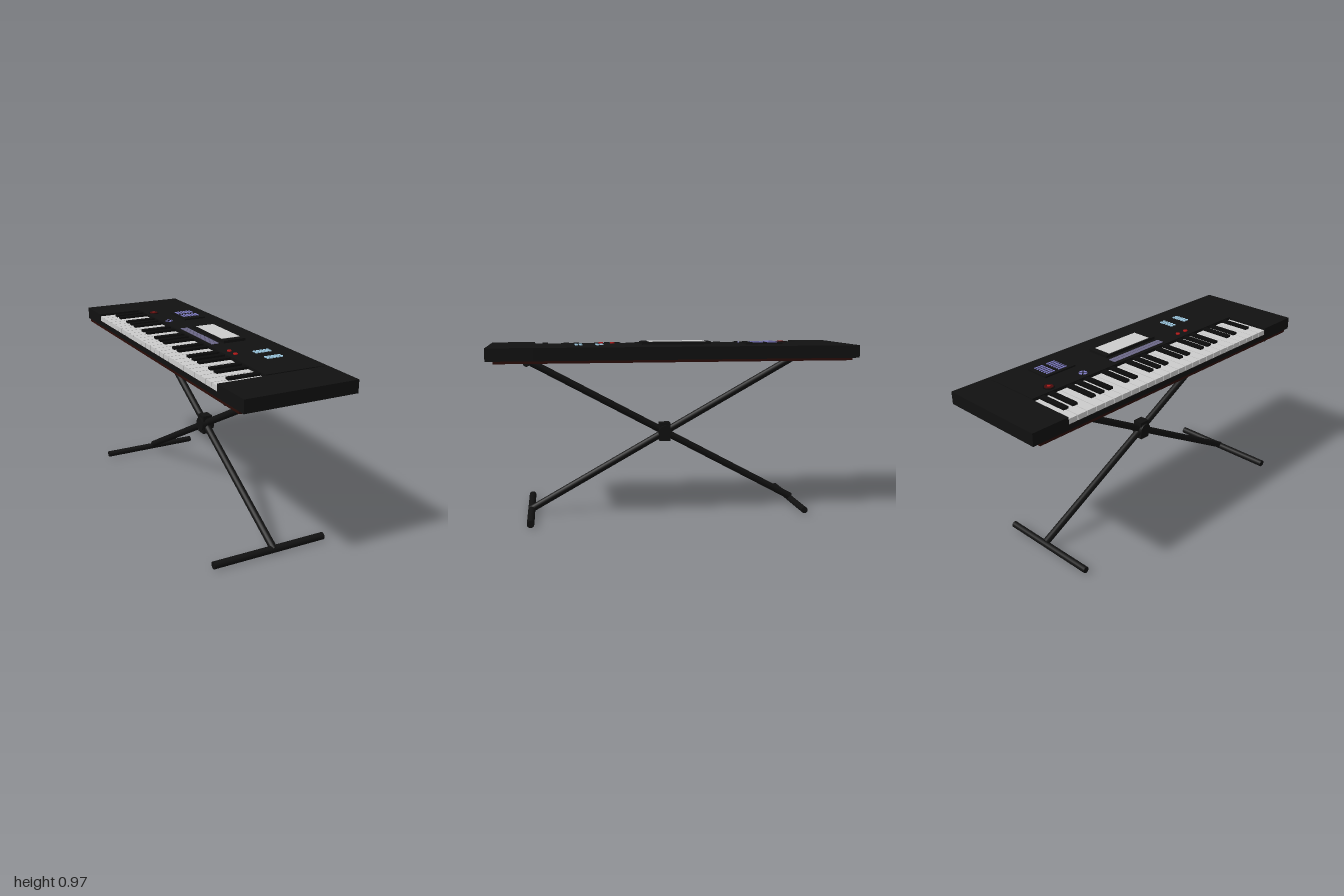
import * as THREE from 'three';

const paint = (color) => new THREE.MeshStandardMaterial({ color });
const black = paint(0x111111), keyBlack = paint(0x0c0c0c), white = paint(0xcccccc), brown = paint(0x2c0d08);
const red = paint(0xb01818), darkRed = paint(0x4a0c0c), purple = paint(0x6c6888), violet = paint(0x7f7cc4), blue = paint(0x9cc8e0);

export function createModel() {
  const model = new THREE.Group();

  const add = (parent, name, geometry, material) => {
    const mesh = new THREE.Mesh(geometry, material);
    mesh.name = name;
    parent.add(mesh);
    return mesh;
  };
  const group = (name) => {
    const g = new THREE.Group();
    g.name = name;
    model.add(g);
    return g;
  };
  // box given by its limits on each axis
  const box = (parent, name, [x0, x1], [y0, y1], [z0, z1], material) => {
    const mesh = add(parent, name, new THREE.BoxGeometry(x1 - x0, y1 - y0, z1 - z0), material);
    mesh.position.set((x0 + x1) / 2, (y0 + y1) / 2, (z0 + z1) / 2);
    return mesh;
  };
  // upright disc standing on the console
  const disc = (parent, name, x, z, radius, y0, y1, material) => {
    const mesh = add(parent, name, new THREE.CylinderGeometry(radius, radius, y1 - y0, 20), material);
    mesh.position.set(x, (y0 + y1) / 2, z);
    return mesh;
  };
  // round bar between two points
  const bar = (parent, name, a, b, radius) => {
    const from = new THREE.Vector3(...a), to = new THREE.Vector3(...b);
    const mesh = add(parent, name, new THREE.CylinderGeometry(radius, radius, from.distanceTo(to), 16), black);
    mesh.position.copy(from).lerp(to, 0.5);
    mesh.quaternion.setFromUnitVectors(new THREE.Vector3(0, 1, 0), to.sub(from).normalize());
    return mesh;
  };

  const left = -0.295, right = 0.323, keyBack = -0.035;
  const keyStart = -0.785, keyEnd = 0.755, deck = 0.953;

  // case: base plate, end blocks, key bed and console
  const body = group('case');
  box(body, 'basePlate', [left, right], [0.867, 0.88], [-0.96, 0.96], brown);
  box(body, 'endBlockBack', [left, right], [0.88, 0.948], [-1, keyStart], black);
  box(body, 'endBlockFront', [left, right], [0.88, 0.948], [keyEnd, 1], black);
  box(body, 'keyBed', [left, keyBack], [0.88, 0.908], [keyStart, keyEnd], black);
  const profile = new THREE.Shape([
    [keyBack, 0.88], [right, 0.88], [right, 0.948], [0.24, deck], [keyBack, deck],
  ].map(([x, y]) => new THREE.Vector2(x, y)));
  const consoleGeometry = new THREE.ExtrudeGeometry(profile, { depth: keyEnd - keyStart, bevelEnabled: false });
  add(body, 'console', consoleGeometry, black).position.z = keyStart;

  // keys: 26 white, black ones in groups of two and three
  const keys = group('keys');
  const count = 26, step = (keyEnd - keyStart) / count;
  for (let i = 0; i < count; i++) {
    const z = keyStart + i * step;
    box(keys, 'whiteKey', [-0.292, keyBack], [0.908, 0.936], [z + 0.002, z + step - 0.002], white);
    if (i % 7 !== 0 && i % 7 !== 3) {
      box(keys, 'blackKey', [-0.21, keyBack], [0.93, 0.948], [z - 0.0155, z + 0.0155], keyBlack);
    }
  }

  // display on its raised block
  const display = group('display');
  box(display, 'displayHousing', [0.055, 0.19], [deck - 0.01, 0.968], [-0.2, 0.18], black);
  box(display, 'screen', [0.064, 0.176], [0.96, 0.9695], [-0.17, 0.14], white);

  // button strip beside the keys
  const controls = group('controls');
  box(controls, 'stripBase', [-0.017, 0.032], [0.945, 0.9545], [-0.212, 0.177], keyBlack);
  const rows = 20, pitch = 0.385 / rows;
  for (let i = 0; i < rows; i++) {
    for (let j = 0; j < 2; j++) {
      const x = -0.015 + j * 0.023, z = -0.21 + i * pitch;
      box(controls, 'stripButton', [x, x + 0.021], [0.95, 0.957], [z + 0.0012, z + pitch - 0.0012], purple);
    }
  }

  // red dial, red buttons and direction pad
  disc(controls, 'dialBase', 0.008, -0.645, 0.03, 0.945, 0.956, keyBlack);
  disc(controls, 'dial', 0.008, -0.645, 0.024, 0.945, 0.959, darkRed);
  disc(controls, 'dialCap', 0.008, -0.645, 0.009, 0.945, 0.961, red);
  for (const z of [0.325, 0.39]) disc(controls, 'redButton', 0.008, z, 0.012, 0.945, 0.959, red);
  disc(controls, 'directionPad', 0.008, -0.415, 0.023, 0.945, 0.956, violet);
  for (const turn of [1, -1]) {
    const slot = box(controls, 'padDivider', [-0.015, 0.031], [0.95, 0.957], [-0.418, -0.412], keyBlack);
    slot.rotation.y = turn * Math.PI / 4;
  }

  // raised slider panel with two rows of violet strips
  box(controls, 'sliderPanel', [0.098, 0.235], [0.945, 0.962], [-0.59, -0.385], black);
  for (let i = 0; i < 6; i++) {
    const x = 0.115 + i * 0.0185;
    for (const z of [-0.565, -0.485]) {
      box(controls, 'slider', [x, x + 0.008], [0.955, 0.966], [z, z + 0.055], violet);
    }
  }

  // two clusters of round pale buttons
  for (const z of [0.395, 0.418, 0.507, 0.53]) {
    for (let i = 0; i < 5; i++) disc(controls, 'roundButton', 0.117 + i * 0.02, z, 0.0085, 0.945, 0.958, blue);
  }

  // crossed stand with feet, top rest and pivot
  const stand = group('stand');
  const mid = 0.021;
  bar(stand, 'legA', [mid, 0.865, 0.8], [mid, 0.04, -0.72], 0.02);
  bar(stand, 'legB', [mid, 0.02, 0.8], [mid, 0.866, -0.72], 0.02);
  bar(stand, 'frontFoot', [-0.328, 0.02, 0.793], [0.325, 0.02, 0.793], 0.02);
  bar(stand, 'backFoot', [-0.3, 0.026, -0.722], [0.292, 0.026, -0.722], 0.018);
  bar(stand, 'topRest', [-0.275, 0.866, 0.793], [0.273, 0.866, 0.793], 0.018);
  box(stand, 'pivotBlock', [-0.008, 0.048], [0.397, 0.503], [0.003, 0.063], black);
  bar(stand, 'pivotPin', [-0.017, 0.449, 0.033], [0.058, 0.449, 0.033], 0.038);

  return model;
}
